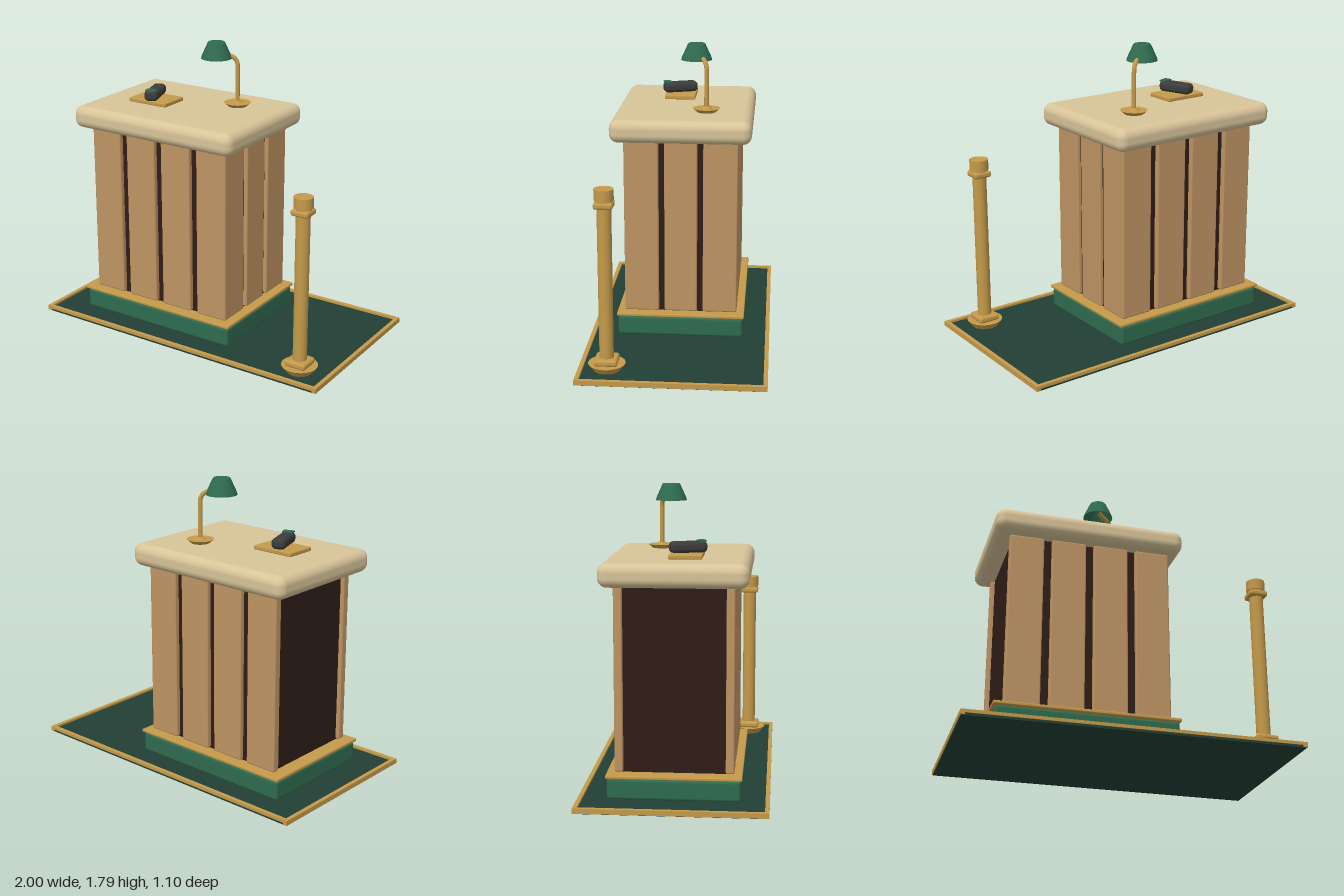
import * as THREE from 'three';
import { RoundedBoxGeometry } from 'three/addons/geometries/RoundedBoxGeometry.js';

const mat = (name, color, side = THREE.FrontSide) => {
  const m = new THREE.MeshStandardMaterial({ color, side });
  m.name = name;
  return m;
};

export function createModel() {
  const root = new THREE.Group();
  root.name = 'receptionDesk';

  const wood = mat('wood', 0xbf9463);
  const darkWood = mat('darkWood', 0x2f1d17);
  const stone = mat('creamStone', 0xd8c499);
  const brass = mat('brass', 0xc49a4a);
  const green = mat('green', 0x2f6b4f, THREE.DoubleSide);
  const carpet = mat('darkGreenCarpet', 0x223f34);
  const charcoal = mat('charcoal', 0x3c3c3d);

  const add = (name, geo, material, x = 0, y = 0, z = 0, parent = root) => {
    const m = new THREE.Mesh(geo, material);
    m.name = name;
    m.position.set(x, y, z);
    parent.add(m);
    return m;
  };
  // Box given by its limits; r > 0 rounds the edges
  const box = (name, material, x0, x1, y0, y1, z0, z1, r = 0, seg = 2, parent = root) => {
    const s = [x1 - x0, y1 - y0, z1 - z0];
    const geo = r ? new RoundedBoxGeometry(...s, seg, r) : new THREE.BoxGeometry(...s);
    return add(name, geo, material, (x0 + x1) / 2, (y0 + y1) / 2, (z0 + z1) / 2, parent);
  };
  const disc = (name, material, rTop, rBottom, y0, y1, x, z, sides = 32, parent = root) =>
    add(name, new THREE.CylinderGeometry(rTop, rBottom, y1 - y0, sides), material, x, (y0 + y1) / 2, z, parent);

  // Carpet with a brass border
  box('carpet', carpet, -0.995, 0.995, 0, 0.02, -0.545, 0.545);
  for (const s of [-1, 1]) {
    const rail = box('carpetEndBorder', brass, -0.0125, 0.0125, 0.003, 0.033, -0.55, 0.55);
    rail.position.x = s * 0.9875;
    const long = box('carpetLongBorder', brass, -0.975, 0.975, 0.014, 0.033, -0.0125, 0.0125);
    long.position.z = s * 0.5375;
  }

  // Plinth and trim
  box('plinth', green, -0.79, 0.29, 0.02, 0.143, -0.385, 0.385, 0.018);
  box('plinthTrim', brass, -0.8, 0.3, 0.145, 0.165, -0.392, 0.392, 0.006);

  // Dark core showing between the panels and on the open end
  box('deskCore', darkWood, -0.71, 0.225, 0.16, 1.26, -0.315, 0.315);

  // Front and back panels
  for (const s of [-1, 1]) {
    for (let i = 0; i < 4; i++) {
      const x = -0.63 + i * 0.2585;
      const w = 0.105;
      const p = box('facePanel', wood, x - w, x + w, 0.17, 1.245, -0.025, 0.025, 0.01);
      p.position.z = s * 0.32;
    }
  }
  // Panels on the right end
  for (let i = -1; i <= 1; i++) {
    const z = i * 0.235;
    box('endPanel', wood, 0.2, 0.25, 0.17, 1.245, z - 0.1, z + 0.1, 0.01);
  }

  // Counter top
  box('counterTop', stone, -0.83, 0.328, 1.245, 1.385, -0.425, 0.425, 0.055, 5);

  // Desk lamp
  const lamp = new THREE.Group();
  lamp.name = 'deskLamp';
  root.add(lamp);
  disc('lampBase', brass, 0.083, 0.055, 1.383, 1.408, 0.022, -0.14, 32, lamp);
  disc('lampFoot', brass, 0.025, 0.035, 1.408, 1.42, 0.022, -0.14, 24, lamp);
  const v = (x, y, z) => new THREE.Vector3(x, y, z);
  const stem = new THREE.CurvePath();
  stem.add(new THREE.LineCurve3(v(0.022, 1.4, -0.14), v(0.022, 1.64, -0.14)));
  stem.add(new THREE.QuadraticBezierCurve3(v(0.022, 1.64, -0.14), v(0.022, 1.675, -0.14), v(-0.005, 1.695, -0.123)));
  stem.add(new THREE.LineCurve3(v(-0.005, 1.695, -0.123), v(-0.085, 1.73, -0.075)));
  add('lampStem', new THREE.TubeGeometry(stem, 40, 0.014, 10), brass, 0, 0, 0, lamp);
  const shadeProfile = [[0.095, 0], [0.088, 0.02], [0.054, 0.095], [0.05, 0.1], [0, 0.1]]
    .map(([r, y]) => new THREE.Vector2(r, y));
  add('lampShade', new THREE.LatheGeometry(shadeProfile, 32), green, -0.088, 1.686, -0.072, lamp);

  // Brass tray with the handset
  box('tray', brass, -0.597, -0.32, 1.385, 1.41, -0.047, 0.148, 0.006);
  const handset = new THREE.Group();
  handset.name = 'handset';
  handset.position.set(-0.46, 1.443, 0.058);
  handset.rotation.y = 0.34;
  root.add(handset);
  box('handsetBody', charcoal, -0.043, 0.043, -0.033, 0.033, -0.11, 0.11, 0.026, 3, handset);
  box('handsetButton', green, -0.033, 0.033, 0.03, 0.038, 0.06, 0.105, 0, 1, handset);

  // Barrier post
  const post = new THREE.Group();
  post.name = 'barrierPost';
  post.position.set(0.8, 0, 0.385);
  root.add(post);
  disc('postBase', brass, 0.109, 0.08, 0.02, 0.06, 0, 0, 32, post);
  box('postFoot', brass, -0.068, 0.068, 0.058, 0.098, -0.068, 0.068, 0.015, 2, post);
  disc('postShaft', brass, 0.042, 0.042, 0.09, 1.01, 0, 0, 24, post);
  box('postCollar', brass, -0.056, 0.056, 1.0, 1.038, -0.056, 0.056, 0.014, 2, post);
  disc('postNeck', brass, 0.05, 0.05, 1.035, 1.05, 0, 0, 24, post);
  disc('postCap', brass, 0.057, 0.057, 1.045, 1.11, 0, 0, 24, post);

  return root;
}
